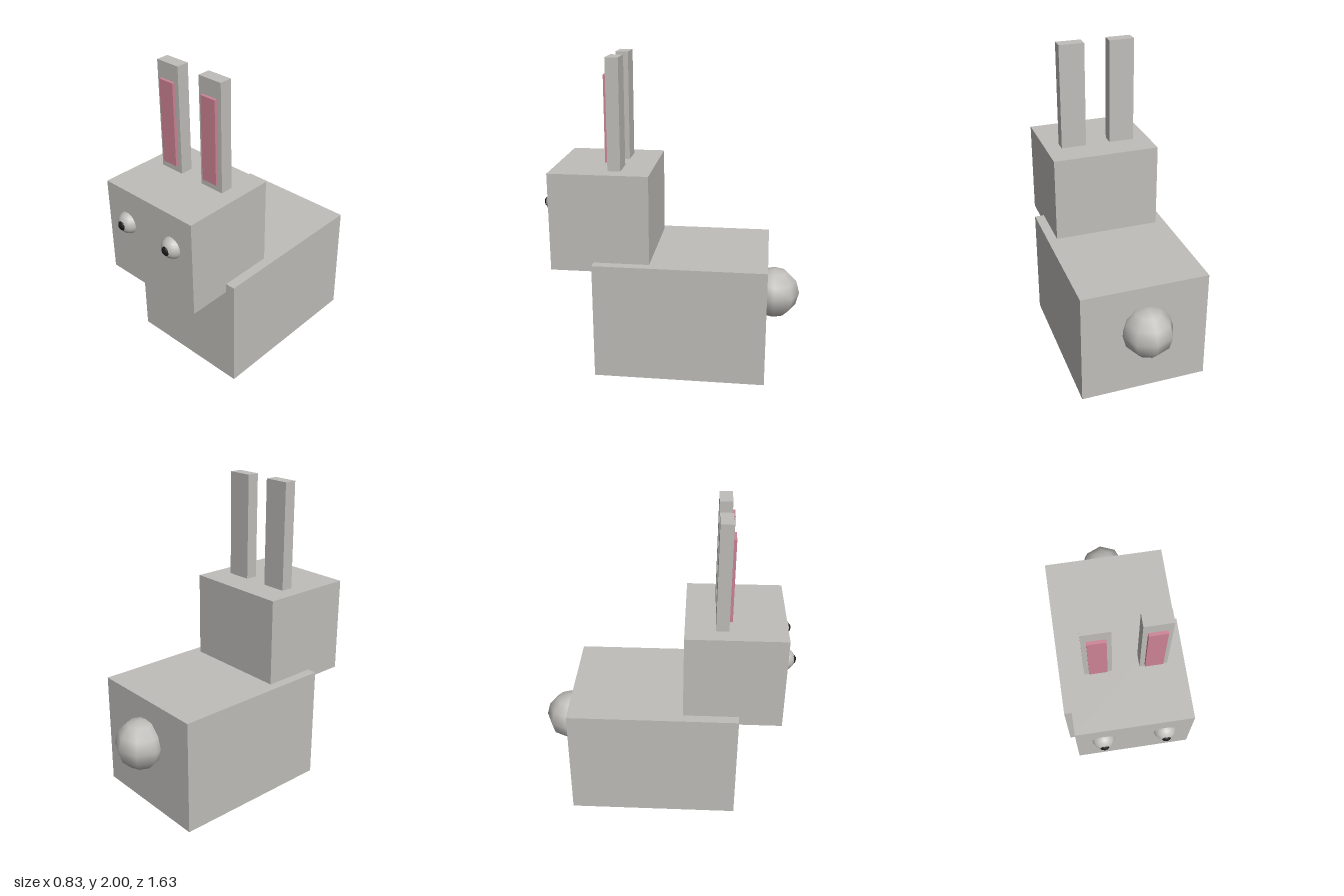
import * as THREE from 'three';

const paint = (name, color) => {
  const m = new THREE.MeshStandardMaterial({ color });
  m.name = name;
  return m;
};

export function createModel() {
  const rabbit = new THREE.Group();
  rabbit.name = 'blockRabbit';
  const fur = paint('warm grey', 0xbfbdb9);
  const pink = paint('pink', 0xcd8395);
  const black = paint('black', 0x1a1a1a);

  const add = (name, geometry, material, x, y, z) => {
    const mesh = new THREE.Mesh(geometry, material);
    mesh.name = name;
    mesh.position.set(x, y, z);
    rabbit.add(mesh);
  };
  // Box given by its min and max corners
  const box = (name, material, [x0, y0, z0], [x1, y1, z1]) =>
    add(name, new THREE.BoxGeometry(x1 - x0, y1 - y0, z1 - z0), material,
      (x0 + x1) / 2, (y0 + y1) / 2, (z0 + z1) / 2);
  // Coarse, smooth-shaded ball
  const ball = (name, material, r, x, y, z) =>
    add(name, new THREE.SphereGeometry(r, 8, 6), material, x, y, z);

  // Body, head and tail
  box('body', fur, [-0.415, 0, -0.605], [0.415, 0.75, 0.475]);
  box('head', fur, [-0.352, 0.69, 0.125], [0.352, 1.312, 0.748]);
  ball('tail', fur, 0.165, 0, 0.46, -0.65);

  // Ears and eyes, one of each per side
  for (const [side, s] of [['left', 1], ['right', -1]]) {
    const mid = s * 0.165;
    box(side + 'Ear', fur, [mid - 0.083, 1.3, 0.313], [mid + 0.083, 2, 0.393]);
    box(side + 'InnerEar', pink, [mid - 0.054, 1.36, 0.385], [mid + 0.054, 1.896, 0.412]);
    add(side + 'Eye', new THREE.SphereGeometry(0.071, 16, 12), fur, s * 0.188, 1.088, 0.735);
    add(side + 'Pupil', new THREE.SphereGeometry(0.036, 12, 8), black, s * 0.188, 1.088, 0.779);
  }
  return rabbit;
}
